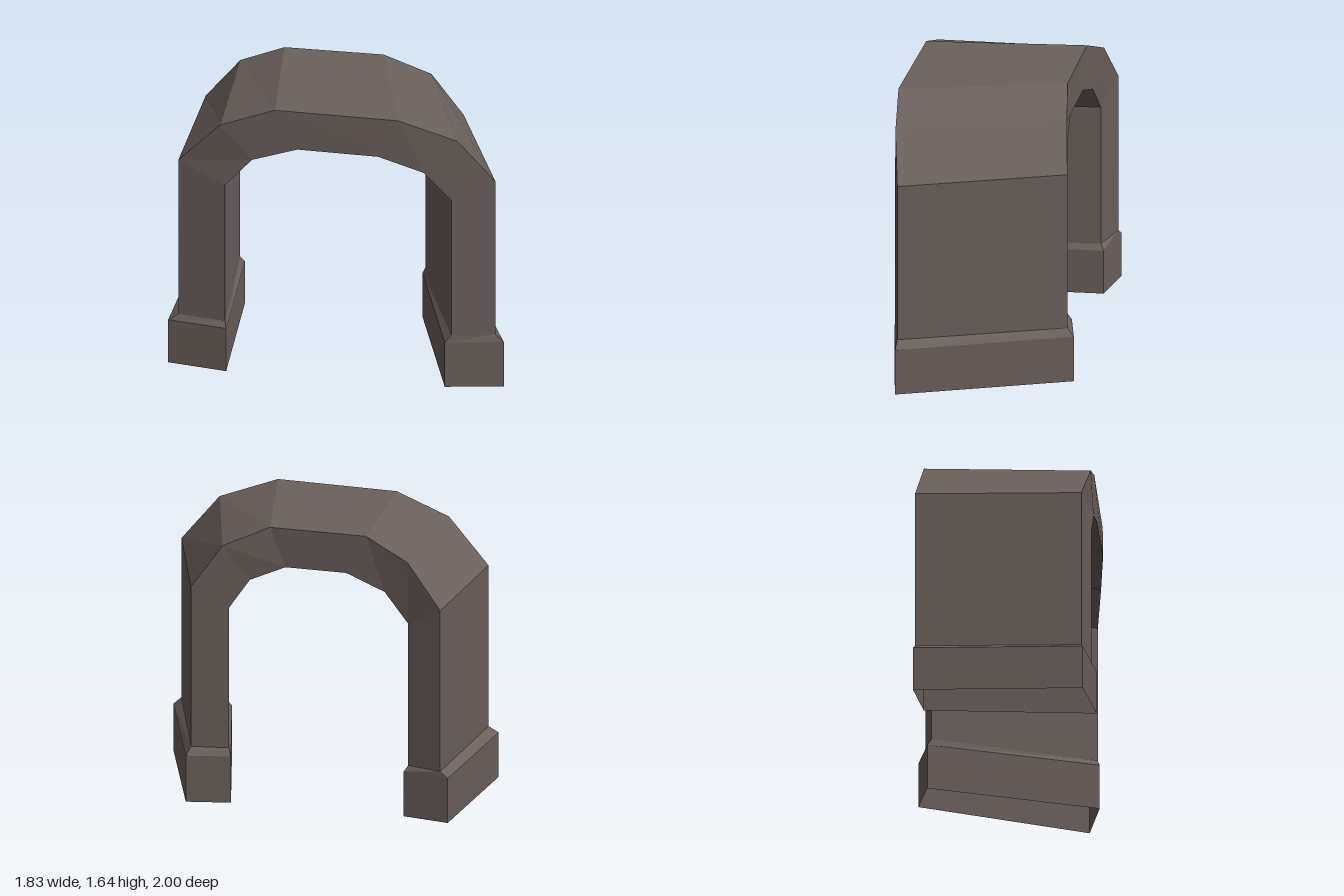
import * as THREE from 'three';

// Quads (corners counter-clockwise from outside) to a faceted geometry
function quadGeometry(quads) {
  const pos = [];
  for (const [a, b, c, d] of quads) pos.push(...a, ...b, ...c, ...a, ...c, ...d);
  const g = new THREE.BufferGeometry();
  g.setAttribute('position', new THREE.Float32BufferAttribute(pos, 3));
  g.computeVertexNormals();
  return g;
}

// Quads between two rows of points
const strip = (p, q) => p.slice(1).map((_, i) => [p[i], q[i], q[i + 1], p[i + 1]]);

export function createModel() {
  const stone = new THREE.MeshStandardMaterial({ color: 0x6b605c, side: THREE.DoubleSide });
  stone.name = 'brown grey stone';
  const group = new THREE.Group();
  group.name = 'curvedArch';
  const add = (name, quads) => {
    const mesh = new THREE.Mesh(quadGeometry(quads), stone);
    mesh.name = name;
    group.add(mesh);
  };

  // Arch edges in plan [x, z], from the right foot over the crown to the left foot
  const leftTop = 0.31, rightTop = 0.32;
  const edge = (plan, heights) => {
    const pts = plan.map(([x, z], i) => [x, heights[Math.min(i, 5 - i)], z]);
    const foot = (p, y) => [p[0], y, p[2]];
    return [foot(pts[0], leftTop), ...pts, foot(pts[5], rightTop)];
  };
  const outerY = [1.27, 1.525, 1.645], innerY = [1.155, 1.327, 1.415];
  const outerFront = edge([[-0.87, -0.23], [-0.71, -0.03], [-0.475, 0.185],
    [0.055, 0.675], [0.34, 0.86], [0.535, 0.96]], outerY);
  const outerBack = edge([[-0.26, -0.96], [-0.13, -0.79], [0.04, -0.58],
    [0.475, -0.2], [0.71, -0.06], [0.87, 0.03]], outerY);
  const innerFront = edge([[-0.69, -0.01], [-0.575, 0.1], [-0.38, 0.28],
    [-0.035, 0.605], [0.175, 0.76], [0.31, 0.845]], innerY);
  const innerBack = edge([[-0.14, -0.775], [-0.04, -0.665], [0.13, -0.5],
    [0.405, -0.26], [0.575, -0.14], [0.68, -0.08]], innerY);

  add('frontFace', strip(outerFront, innerFront));
  add('backFace', strip(innerBack, outerBack));
  add('outerVault', strip(outerBack, outerFront));
  add('innerVault', strip(innerFront, innerBack));

  // Plinths: upright sides and a sloped top edge, open underneath
  const plinth = (name, plan, legCorners, bottom) => {
    const at = (y) => plan.map(([x, z]) => [x, y, z]);
    const rings = [at(bottom), at(0.275), legCorners];
    const quads = [];
    for (let r = 0; r < 2; r++) {
      for (let i = 0; i < 4; i++) {
        const j = (i + 1) % 4;
        quads.push([rings[r][i], rings[r][j], rings[r + 1][j], rings[r + 1][i]]);
      }
    }
    add(name, quads);
  };
  plinth('rightPlinth', [[-0.92, -0.26], [-0.7, 0.02], [-0.11, -0.775], [-0.29, -1]],
    [outerFront[0], innerFront[0], innerBack[0], outerBack[0]], 0.01);
  plinth('leftPlinth', [[0.275, 0.83], [0.57, 0.995], [0.91, 0.01], [0.68, -0.11]],
    [innerFront[7], outerFront[7], outerBack[7], innerBack[7]], 0);
  return group;
}
